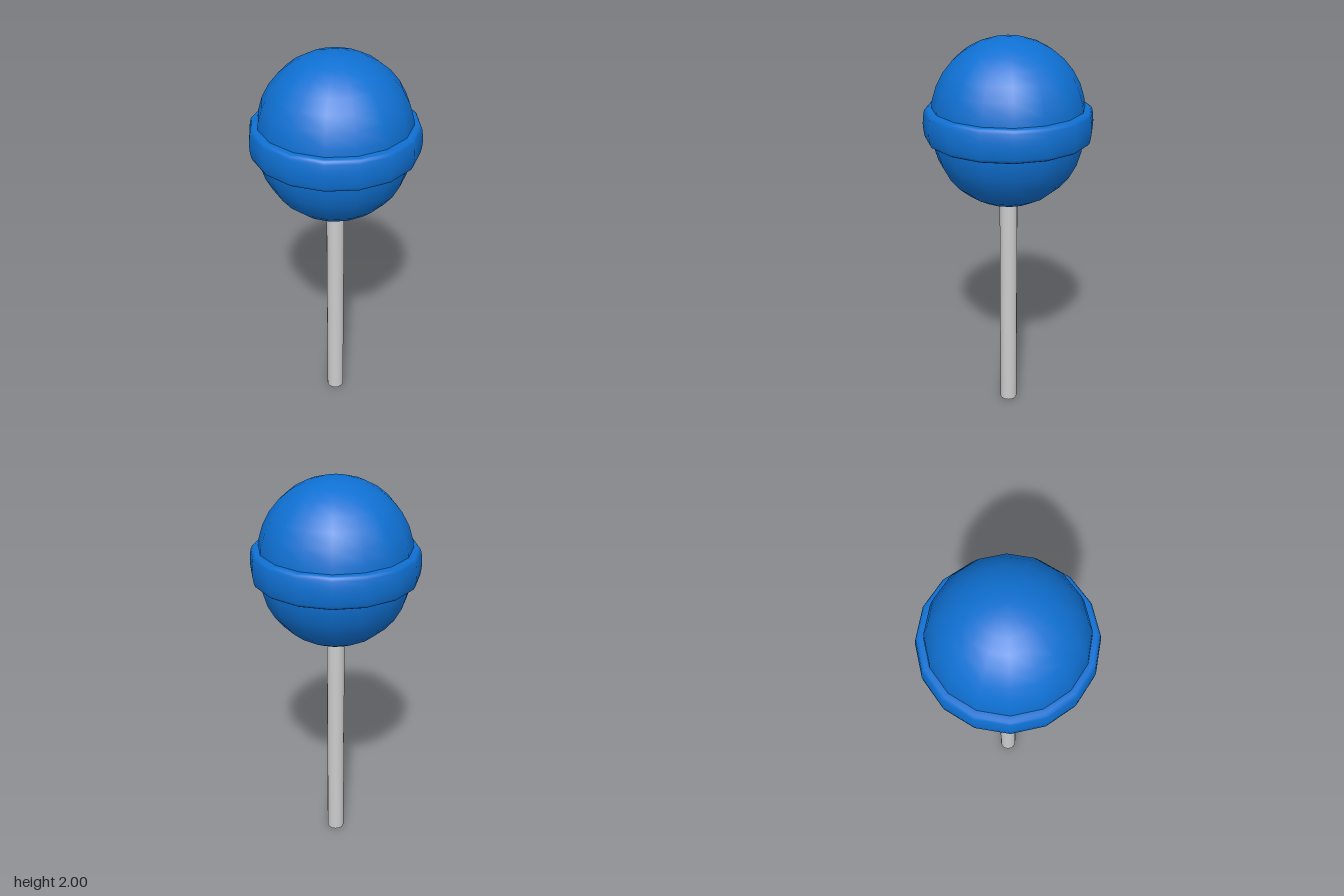
import * as THREE from 'three';

const SIDES = 16;
const MID = 1.586; // height of the candy's equator

export function createModel() {
  const group = new THREE.Group();
  const candyBlue = new THREE.MeshStandardMaterial({ color: 0x0f70d2 });
  candyBlue.name = 'candyBlue';
  const stickGrey = new THREE.MeshStandardMaterial({ color: 0xcccccc });
  stickGrey.name = 'stickGrey';

  const add = (name, geometry, material, y) => {
    const mesh = new THREE.Mesh(geometry, material);
    mesh.name = name;
    mesh.position.y = y;
    group.add(mesh);
  };

  // Candy: two hemispheres joined by a short straight middle
  add('candyBall', new THREE.CapsuleGeometry(0.375, 0.078, 8, SIDES), candyBlue, MID);

  // Band: bulging rim with rounded edges, mirrored about the equator
  const upper = [[0.415, 0], [0.413, 0.03], [0.408, 0.06], [0.402, 0.073], [0.392, 0.079], [0.36, 0.079]];
  const lower = upper.slice(1).reverse().map(([r, y]) => [r, -y]);
  const profile = [...lower, ...upper].map(([r, y]) => new THREE.Vector2(r, y));
  add('candyBand', new THREE.LatheGeometry(profile, SIDES), candyBlue, MID);

  // Stick: runs from the ground into the candy
  add('stick', new THREE.CylinderGeometry(0.045, 0.045, 1.22, SIDES), stickGrey, 0.61);

  return group;
}
